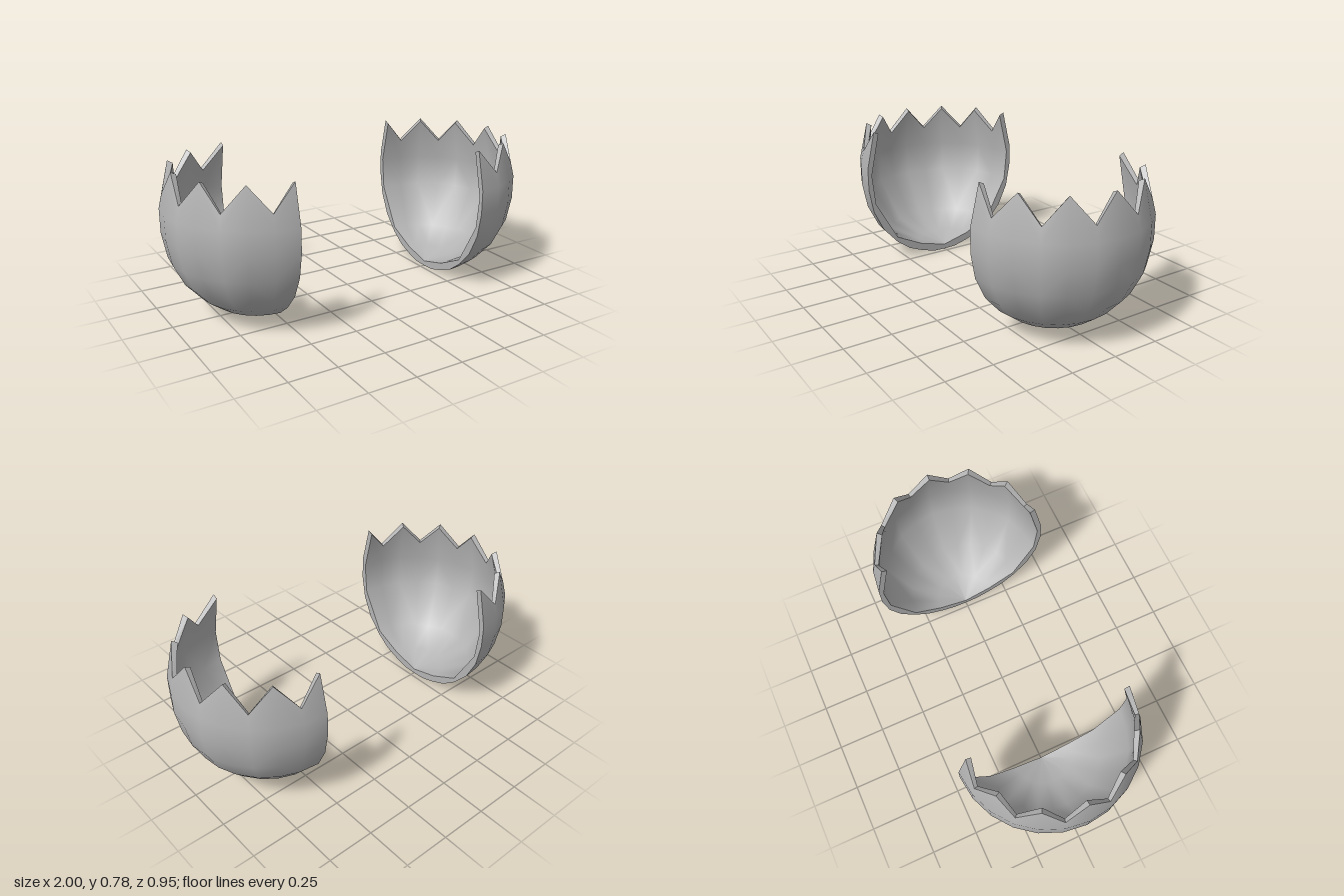
import * as THREE from 'three';

// profiles as [radius, height], from the base up to the last full ring
const OUTER = [[0, 0.002], [0.07, 0.004], [0.15, 0.026], [0.235, 0.06], [0.315, 0.12],
  [0.395, 0.21], [0.45, 0.325], [0.474, 0.455], [0.474, 0.58]];
const INNER = [[0, 0.03], [0.155, 0.07], [0.31, 0.145], [0.435, 0.37], [0.452, 0.54]];

// jagged top edge: tip and notch alternate every 15 degrees
const OUTER_RIM = { tip: [0.427, 0.785], notch: [0.455, 0.655] };
const INNER_RIM = { tip: [0.4, 0.772], notch: [0.435, 0.648] };
const STEPS = 12;

const ring = (at) => Array.from({ length: STEPS + 1 }, (_, j) => {
  const angle = -Math.PI / 2 + (j * Math.PI) / STEPS;
  const [r, y] = at(j);
  return [r * Math.cos(angle), y, r * Math.sin(angle)];
});
const rimRing = (rim) => ring((j) => (j % 2 === 0 ? rim.tip : rim.notch));

// skin a stack of rings
function loft(rings, inward = false) {
  const index = [];
  const n = STEPS + 1;
  for (let i = 0; i < rings.length - 1; i++) {
    for (let j = 0; j < STEPS; j++) {
      const a = i * n + j, b = a + 1, d = a + n, c = d + 1;
      // split each quad from its notch side so the teeth mirror each other
      const tris = j % 2 === 0 ? [[a, d, b], [b, d, c]] : [[a, d, c], [a, c, b]];
      for (const [p, q, r] of tris) index.push(...(inward ? [p, r, q] : [p, q, r]));
    }
  }
  const g = new THREE.BufferGeometry();
  g.setAttribute('position', new THREE.Float32BufferAttribute(rings.flat(2), 3));
  g.setIndex(index);
  g.computeVertexNormals();
  return g;
}

// flat U-shaped face where the shell is split
function cutFace() {
  const outer = [...OUTER, OUTER_RIM.tip];
  const inner = [...INNER, INNER_RIM.tip];
  const section = (p) => [
    ...p.slice(1).reverse().map(([r, y]) => new THREE.Vector2(-r, y)),
    ...p.map(([r, y]) => new THREE.Vector2(r, y)),
  ];
  const shape = new THREE.Shape([...section(outer), ...section(inner).reverse()]);
  return new THREE.ShapeGeometry(shape).rotateY(-Math.PI / 2);
}

export function createModel() {
  const model = new THREE.Group();
  model.name = 'crackedShell';
  const grey = new THREE.MeshStandardMaterial({ color: 0xb4b4b4 });
  grey.name = 'shell grey';

  const outerRim = rimRing(OUTER_RIM);
  const innerRim = rimRing(INNER_RIM);
  const parts = {
    outerWall: loft([...OUTER.map((p) => ring(() => p)), outerRim]),
    innerWall: loft([...INNER.map((p) => ring(() => p)), innerRim], true),
    jaggedRim: loft([outerRim, innerRim]).toNonIndexed(),
    splitFace: cutFace(),
  };
  parts.jaggedRim.computeVertexNormals();

  // two matching halves, open sides facing each other
  for (const side of [1, -1]) {
    const half = new THREE.Group();
    half.name = side > 0 ? 'leftHalf' : 'rightHalf';
    for (const [name, geometry] of Object.entries(parts)) {
      const mesh = new THREE.Mesh(geometry, grey);
      mesh.name = name;
      half.add(mesh);
    }
    half.position.x = side * 0.526;
    half.rotation.y = side > 0 ? 0 : Math.PI;
    model.add(half);
  }
  return model;
}
